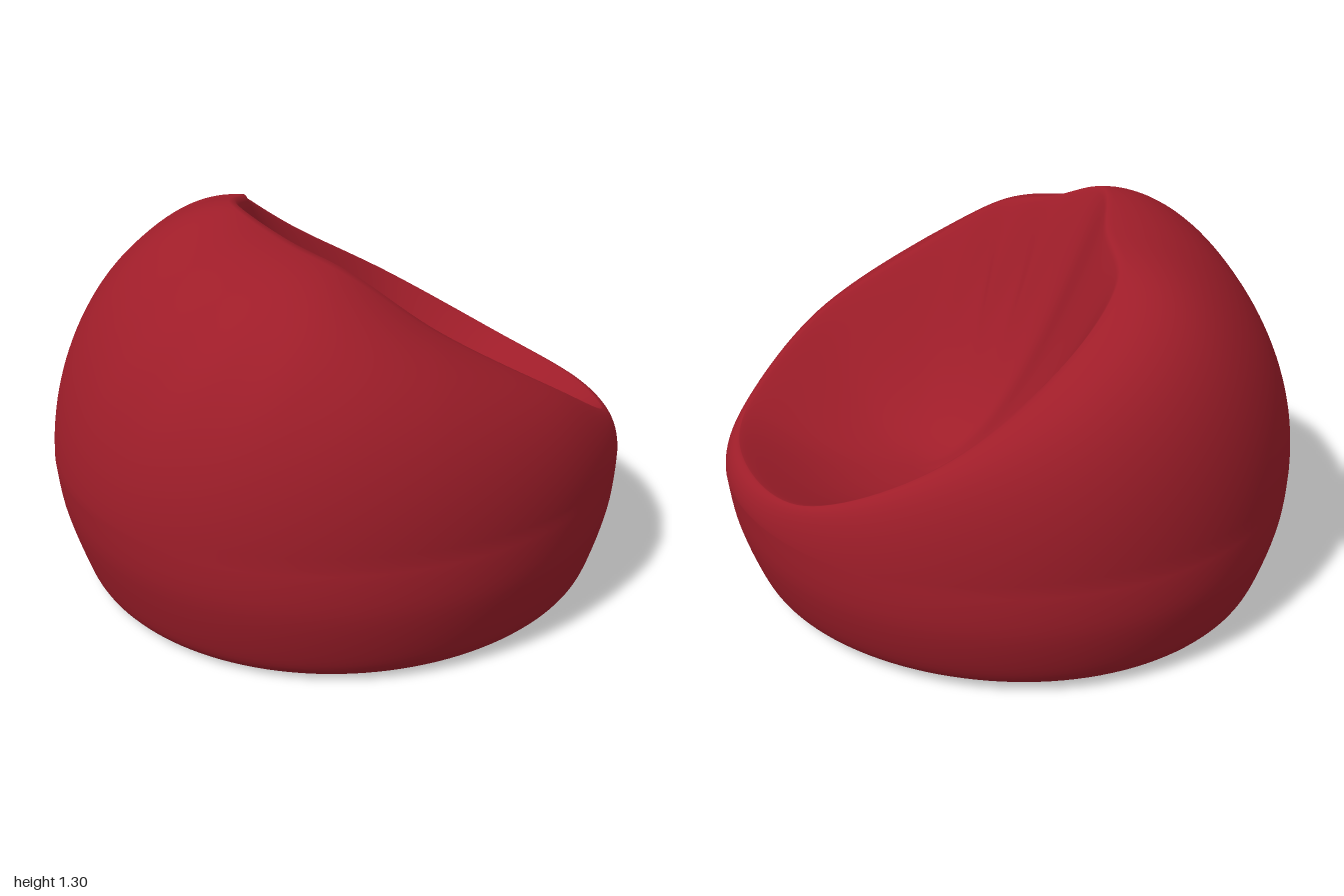
import * as THREE from 'three';

const SEGMENTS = 144;
const V = (x, y, z) => new THREE.Vector3(x, y, z);

// Lofts closed rings: pointAt(row 0..1, angle 0..2pi) gives the surface
function loft(pointAt, rows) {
  const positions = [], index = [];
  for (let r = 0; r <= rows; r++) {
    for (let s = 0; s < SEGMENTS; s++) {
      const p = pointAt(r / rows, (s / SEGMENTS) * Math.PI * 2);
      positions.push(p.x, p.y, p.z);
      if (r === rows) continue;
      const a = r * SEGMENTS + s, b = r * SEGMENTS + ((s + 1) % SEGMENTS);
      index.push(a, a + SEGMENTS, b, b, a + SEGMENTS, b + SEGMENTS);
    }
  }
  const g = new THREE.BufferGeometry();
  g.setAttribute('position', new THREE.Float32BufferAttribute(positions, 3));
  g.setIndex(index);
  g.computeVertexNormals();
  return g;
}

// Crest of the bag every 30 degrees, from the low lip (+x) round by +z
const crest = new THREE.CatmullRomCurve3([
  V(0.94, 0.525, 0), V(0.85, 0.545, 0.37), V(0.52, 0.75, 0.63), V(0.1, 0.99, 0.59),
  V(-0.13, 1.16, 0.45), V(-0.27, 1.23, 0.25), V(-0.37, 1.305, 0.06), V(-0.25, 1.26, -0.25),
  V(-0.17, 1.19, -0.51), V(0.07, 1.02, -0.67), V(0.49, 0.78, -0.73), V(0.84, 0.575, -0.46),
], true);

// Lower wall: radius and height from the floor to the widest ring
const lowerWall = new THREE.SplineCurve([
  [0.84, 0.01], [0.89, 0.03], [0.925, 0.11], [0.975, 0.28], [0.995, 0.43],
].map(([x, y]) => new THREE.Vector2(x, y)));

const seatCentre = V(0.36, 0.38, 0);
const bump = (v, centre, width) => Math.exp(-(((v - centre) / width) ** 2));

// Point of the round plan; the +z side sags slightly towards the back
function plan(r, y, a) {
  const z = r * Math.sin(a);
  return V(r * Math.cos(a) - 0.07 * Math.max(0, z) ** 2, y, z);
}

// How far the floor edge is tucked under at this angle
const tuck = (a) => ((1 + Math.cos(a + 0.8)) / 2) ** 6;

function wallPoint(t, a) {
  const side = Math.sin(a) ** 2;
  if (t < 0.35) {
    const k = t / 0.35;
    const p = lowerWall.getPoint(k);
    const under = tuck(a) * (1 - k) ** 3;
    // The sides bulge low down
    const bulge = 0.035 * side * Math.sin(Math.PI * k);
    return plan(p.x + bulge - 0.07 * under, p.y + 0.02 * under, a);
  }
  // Upper wall: from the widest ring to the crest, fuller at the sides
  const phi = ((t - 0.35) / 0.65) * Math.PI / 2;
  const power = 2 / (1.84 + 0.44 * side);
  const top = crest.getPoint(a / (Math.PI * 2));
  const inward = 1 - Math.max(0, Math.cos(phi)) ** power;
  const p = plan(0.995, 0.43, a).lerp(top, inward);
  p.y = 0.43 + (top.y - 0.43) * Math.sin(phi) ** power;
  // Slack cloth creases on the tall back
  const slack = bump(a, 2.7, 0.5) * bump(t, 0.68, 0.12);
  return p.multiplyScalar(1 + 0.003 * slack * Math.sin(a * 22 + t * 9));
}

// Seat: a round bowl, steep below the crest and flat in the middle
function seatPoint(u, a) {
  const top = crest.getPoint(a / (Math.PI * 2));
  const p = top.clone().lerp(seatCentre, u);
  p.y = THREE.MathUtils.lerp(seatCentre.y, top.y, (1 - u ** 1.15) ** 2.4);
  // Deep folds where the backrest meets the arm
  const fold = bump(a, 2.35, 0.5) * bump(u, 0.22, 0.13);
  p.y += 0.02 * fold * Math.sin(a * 15 + u * 5);
  p.x -= 0.02 * fold * Math.cos(a * 15);
  return p;
}

// Underside: nearly flat, with a shallow puckered recess
function basePoint(t, a) {
  const recess = 0.02 * (1 - THREE.MathUtils.smoothstep(t, 0.78, 0.92));
  const pucker = 0.008 * bump(t, 0.3, 0.2) * Math.cos(a * 3 + 0.6);
  const y = 0.01 + recess + pucker + 0.02 * tuck(a) * t ** 4;
  return plan((0.84 - 0.07 * tuck(a)) * t, y, a);
}

export function createModel() {
  const group = new THREE.Group();
  group.name = 'beanBagChair';
  const fabric = new THREE.MeshStandardMaterial({ color: 0x9e1d29 });
  const add = (name, geometry) => {
    const mesh = new THREE.Mesh(geometry, fabric);
    mesh.name = name;
    group.add(mesh);
  };

  // Wall and seat share one skin so the cover rolls over the crest
  add('cover', loft((t, a) => (t <= 0.5 ? wallPoint(t * 2, a) : seatPoint(t * 2 - 1, a)), 120));
  add('base', loft(basePoint, 40));
  return group;
}
